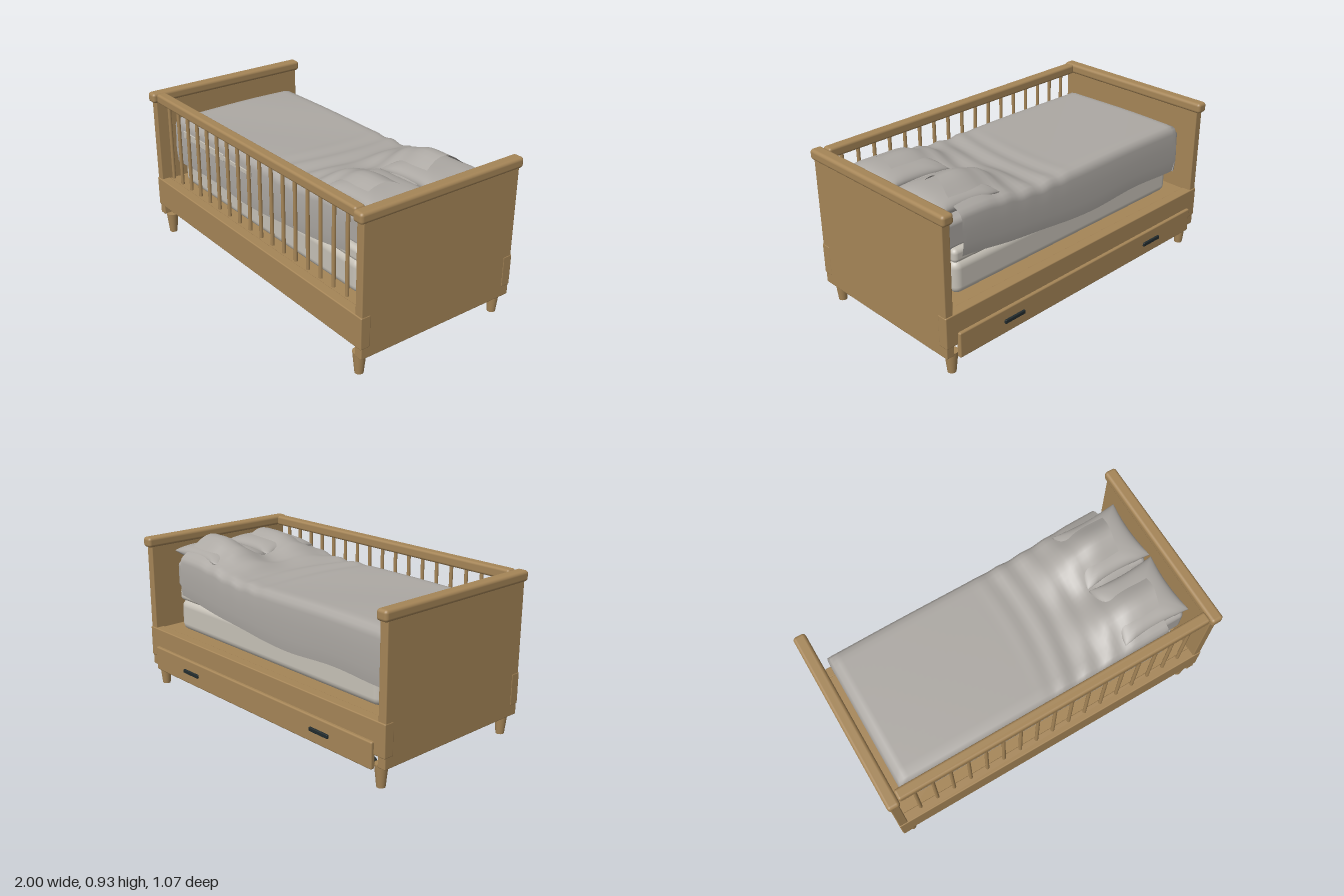
import * as THREE from 'three';
import { RoundedBoxGeometry } from 'three/addons/geometries/RoundedBoxGeometry.js';

const mat = (name, color, side = THREE.FrontSide) => {
  const m = new THREE.MeshStandardMaterial({ color, side });
  m.name = name;
  return m;
};

export function createModel() {
  const wood = mat('oak wood', 0xa58557);
  const black = mat('black metal', 0x222b2d);
  const linen = mat('grey linen', 0xaca8a3, THREE.DoubleSide);
  const cream = mat('cream mattress', 0xc6c1b7);
  const root = new THREE.Group();
  root.name = 'bed';

  const add = (name, geo, material, x = 0, y = 0, z = 0) => {
    const m = new THREE.Mesh(geo, material);
    m.name = name;
    m.position.set(x, y, z);
    root.add(m);
    return m;
  };
  // Box given by its min and max corners, optionally rounded
  const box = (name, material, a, b, r = 0) => {
    const s = a.map((v, i) => b[i] - v);
    const c = a.map((v, i) => (b[i] + v) / 2);
    const geo = r ? new RoundedBoxGeometry(...s, 3, r) : new THREE.BoxGeometry(...s);
    return add(name, geo, material, ...c);
  };

  // End boards with rounded caps, and tapered legs
  for (const s of [-1, 1]) {
    const x = (a, b) => (s > 0 ? [a, b] : [-b, -a]);
    const [p, q] = x(0.94, 0.99), [c, d] = x(0.93, 1);
    box('endBoard', wood, [p, 0.12, -0.505], [q, 0.875, 0.505], 0.006);
    box('endCap', wood, [c, 0.857, -0.527], [d, 0.917, 0.527], 0.018);
    for (const z of [-0.462, 0.462]) {
      add('leg', new THREE.CylinderGeometry(0.036, 0.023, 0.125, 24), wood, s * 0.926, 0.0625, z);
    }
  }

  // Base: platform and long side boards
  box('platform', wood, [-0.94, 0.172, -0.49], [0.94, 0.355, 0.49]);
  box('frontBoard', wood, [-0.992, 0.18, 0.45], [0.992, 0.36, 0.51], 0.006);
  box('backBoard', wood, [-0.992, 0.18, -0.51], [0.992, 0.36, -0.45], 0.006);

  // Front guard rail with slats
  box('guardRail', wood, [-0.93, 0.86, 0.445], [0.93, 0.917, 0.507], 0.014);
  for (let i = 0; i < 17; i++) {
    add('slat', new THREE.CylinderGeometry(0.0105, 0.0105, 0.47, 12), wood, -0.84 + i * 0.105, 0.635, 0.475);
  }

  // Drawer front, handles and casters at the back
  box('drawerFront', wood, [-0.92, 0.105, -0.527], [0.92, 0.25, -0.5], 0.008);
  for (const s of [-1, 1]) {
    box('drawerHandle', black, [s * 0.553 - 0.07, 0.167, -0.538], [s * 0.553 + 0.07, 0.189, -0.522], 0.004);
    const wheel = add('caster', new THREE.CylinderGeometry(0.022, 0.022, 0.034, 20), black, s * 0.783, 0.053, -0.38);
    wheel.rotation.x = Math.PI / 2;
  }

  // Mattress and its topper
  box('mattress', cream, [-0.84, 0.358, -0.4], [0.83, 0.548, 0.4], 0.045);
  box('mattressTopper', cream, [-0.84, 0.542, -0.4], [0.83, 0.62, 0.4], 0.025);

  // Pillows: a square lower pair and a pinched upper pair
  for (const s of [-1, 1]) {
    box('lowerPillow', linen, [0.5, 0.6, s * 0.188 - 0.18], [0.895, 0.765, s * 0.188 + 0.18], 0.03);
    add('upperPillow', pillowGeometry(0.2, 0.05, 0.183), linen, 0.7, 0.82, s * 0.188).rotation.z = 0.03;
  }

  add('duvet', duvetGeometry(), linen);
  // Pale lining showing on the front of the duvet
  box('duvetLining', cream, [-0.79, 0.665, 0.412], [-0.35, 0.708, 0.419], 0.003);
  box('duvetLining', cream, [-0.35, 0.672, 0.412], [-0.07, 0.698, 0.419], 0.003);
  return root;
}

// Cushion with thin seams, hollow edges and pointed corners
function pillowGeometry(hx, hy, hz) {
  const geo = new THREE.SphereGeometry(1, 32, 24);
  const p = geo.attributes.position;
  for (let i = 0; i < p.count; i++) {
    const x = p.getX(i), y = p.getY(i), z = p.getZ(i);
    // Stretch the round outline to a square one
    const r = Math.hypot(x, z), k = r / Math.max(Math.abs(x), Math.abs(z), 1e-6);
    const u = x * k, v = z * k;
    const h = Math.sqrt(Math.max(0, (1 - u ** 4) * (1 - v ** 4)));
    p.setXYZ(i, u * hx * (1 - 0.08 * (1 - v * v)), Math.sign(y) * Math.min(1, Math.abs(y) * 8) * hy * h,
      v * hz * (1 - 0.08 * (1 - u * u)));
  }
  geo.computeVertexNormals();
  return geo;
}

// Cloth draped over both sides and the foot, raised over the pillows
function duvetGeometry() {
  const { smoothstep, lerp } = THREE.MathUtils;
  // Each entry is [position, share of the drop]
  const edge = [[0.408, 1], [0.416, 0.75], [0.413, 0.45], [0.413, 0.18], [0.403, 0.08], [0.385, 0.02], [0.355, 0]];
  const across = edge.map(([z, f]) => [-z, f]);
  for (let i = 1; i < 24; i++) across.push([lerp(-0.355, 0.355, i / 24), 0]);
  across.push(...edge.slice().reverse());
  const along = [[-0.875, 1], [-0.893, 0.7], [-0.895, 0.4], [-0.892, 0.15], [-0.88, 0.05], [-0.85, 0]];
  for (let i = 1; i <= 60; i++) along.push([lerp(-0.85, 0.77, i / 60), 0]);

  const top = (x, z) => {
    const rise = smoothstep(x, 0.2, 0.68);
    const hump = (z < 0 ? 0.105 : 0.085) * Math.sin(Math.PI * z / 0.4) ** 2;
    const crease = smoothstep(x, -0.05, 0.15) * (1 - smoothstep(x, 0.45, 0.65));
    return 0.775 + rise * (0.045 + hump) + 0.007 * crease * Math.sin(42 * x + 14 * z * z + 3 * z)
      + 0.003 * Math.sin(5 * x + 7 * z);
  };
  const pos = [], index = [], n = across.length;
  along.forEach(([x, fx], i) => across.forEach(([z, fz], j) => {
    const hem = 0.485 + 0.09 * smoothstep(x, 0, 0.8) + 0.008 * Math.sin(9 * x);
    const f = Math.max(fx, fz), t = top(x, z);
    // The head end wavers a little
    const xx = x + 0.02 * smoothstep(x, 0.6, 0.77) * Math.sin(13 * z);
    pos.push(xx, lerp(t, hem, f), z);
    if (i && j) {
      const d = i * n + j, c = d - 1, b = d - n, a = b - 1;
      index.push(a, b, c, b, d, c);
    }
  }));
  const geo = new THREE.BufferGeometry();
  geo.setAttribute('position', new THREE.Float32BufferAttribute(pos, 3));
  geo.setIndex(index);
  geo.computeVertexNormals();
  return geo;
}
